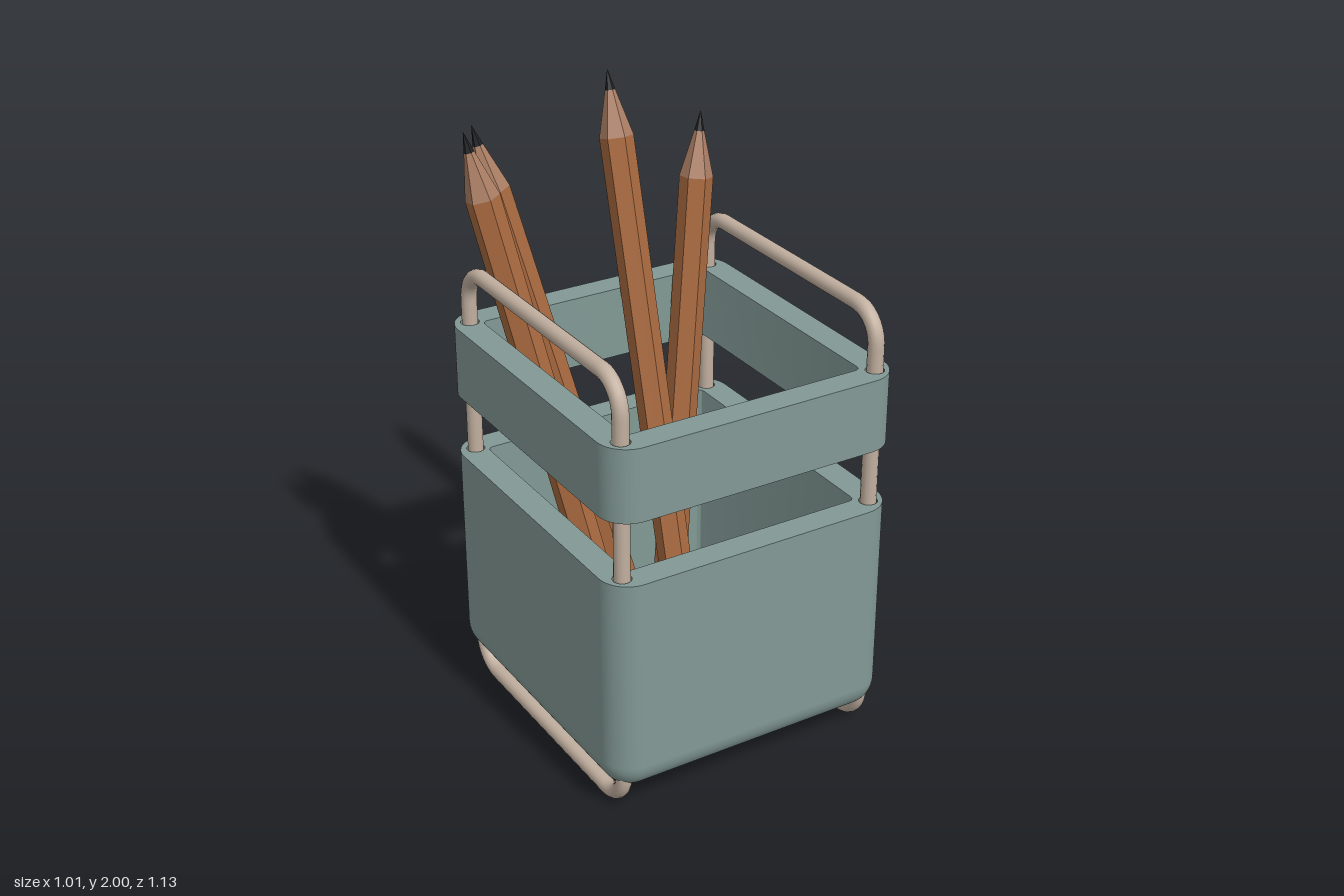
import * as THREE from 'three';
import { toCreasedNormals } from 'three/addons/utils/BufferGeometryUtils.js';
import { RoundedBoxGeometry } from 'three/addons/geometries/RoundedBoxGeometry.js';

const paint = (name, color) => {
  const m = new THREE.MeshStandardMaterial({ color });
  m.name = name;
  return m;
};
const teal = paint('sage green', 0x829995);
const beige = paint('beige metal', 0xc2b0a0);
const orange = paint('orange lacquer', 0xa8693f);
const wood = paint('bare wood', 0xab7e64);
const black = paint('graphite', 0x1e2022);
[orange, wood, black].forEach((m) => { m.flatShading = true; });

const CENTER_Z = 0.03;
const ROD_X = 0.446, ROD_R = 0.026, ROD_FRONT = 0.507, ROD_BACK = -0.441;

function mesh(name, geometry, material) {
  const m = new THREE.Mesh(geometry, material);
  m.name = name;
  return m;
}

// Rounded rectangle around (cx, cy), counter-clockwise
function roundedRect(path, cx, cy, w, h, r) {
  const x = w / 2 - r, y = h / 2 - r;
  path.moveTo(cx - x, cy - y - r);
  path.lineTo(cx + x, cy - y - r);
  path.absarc(cx + x, cy - y, r, -Math.PI / 2, 0);
  path.lineTo(cx + x + r, cy + y);
  path.absarc(cx + x, cy + y, r, 0, Math.PI / 2);
  path.lineTo(cx - x, cy + y + r);
  path.absarc(cx - x, cy + y, r, Math.PI / 2, Math.PI);
  path.lineTo(cx - x - r, cy - y);
  path.absarc(cx - x, cy - y, r, Math.PI, Math.PI * 1.5);
  return path;
}

// Square wall with a central opening and four rod holes
function wall(name, bottom, top) {
  const shape = roundedRect(new THREE.Shape(), 0, CENTER_Z, 1.01, 1.08, 0.1);
  shape.holes.push(roundedRect(new THREE.Path(), 0, CENTER_Z, 0.826, 0.9, 0.02));
  for (const x of [-ROD_X, ROD_X]) {
    for (const z of [ROD_FRONT, ROD_BACK]) {
      shape.holes.push(new THREE.Path().absarc(x, z, 0.03, 0, Math.PI * 2, true));
    }
  }
  const g = new THREE.ExtrudeGeometry(shape, { depth: top - bottom, bevelEnabled: false, curveSegments: 10 });
  g.rotateX(Math.PI / 2).translate(0, top, 0);
  return mesh(name, toCreasedNormals(g, 0.7), teal);
}

// Rounded underside with a flat inner floor
function cupBase(y) {
  const g = new RoundedBoxGeometry(1.01, 0.2, 1.08, 8, 0.1);
  const p = g.attributes.position;
  for (let i = 0; i < p.count; i++) p.setY(i, Math.min(p.getY(i), 0));
  g.translate(0, y, CENTER_Z);
  return mesh('cupBase', g, teal);
}

// Closed loop of bent rod lying in the YZ plane
class RodLoop extends THREE.Curve {
  constructor() {
    super();
    this.outline = roundedRect(new THREE.Path(), (ROD_FRONT + ROD_BACK) / 2, 0.759,
      ROD_FRONT - ROD_BACK, 1.462, 0.105);
  }
  getPoint(t, target = new THREE.Vector3()) {
    const p = this.outline.getPoint(t);
    return target.set(0, p.y, p.x);
  }
}

// Six-sided pencil from the centre of its end to its point
function pencil(name, end, tip) {
  const R = 0.056, CONE = 0.215, LEAD = 0.3;
  const a = new THREE.Vector3(...end), b = new THREE.Vector3(...tip);
  const length = a.distanceTo(b);
  const section = (part, rTop, rBottom, y0, y1, material, open) => {
    const g = new THREE.CylinderGeometry(rTop, rBottom, y1 - y0, 6, 1, open);
    return mesh(part, g.translate(0, (y0 + y1) / 2, 0), material);
  };
  const group = new THREE.Group();
  group.name = name;
  group.add(
    section('pencilShaft', R, R, 0, length - CONE, orange, false),
    section('sharpenedWood', R * LEAD, R, length - CONE, length - CONE * LEAD, wood, true),
    section('pencilLead', 0.001, R * LEAD, length - CONE * LEAD, length, black, true),
  );
  group.position.copy(a);
  group.quaternion.setFromUnitVectors(new THREE.Vector3(0, 1, 0), b.sub(a).normalize());
  return group;
}

export function createModel() {
  const model = new THREE.Group();
  model.name = 'pencilHolder';

  // Cup and upper ring
  model.add(cupBase(0.19), wall('cupWall', 0.19, 0.848), wall('upperRing', 1.06, 1.303));

  // Side frames
  const rod = new THREE.TubeGeometry(new RodLoop(), 240, ROD_R, 14, true);
  for (const [name, x] of [['leftFrame', ROD_X], ['rightFrame', -ROD_X]]) {
    const frame = mesh(name, rod, beige);
    frame.position.x = x;
    model.add(frame);
  }

  // Pencils leaning towards the back
  model.add(
    pencil('centrePencil', [0.138, 0.2, -0.095], [0.138, 2, -0.564]),
    pencil('leftPencil', [0.185, 0.2, -0.26], [0.42, 1.845, -0.45]),
    pencil('outerRightPencil', [-0.11, 0.2, -0.153], [-0.453, 1.945, -0.413]),
    pencil('innerRightPencil', [0.005, 0.2, -0.212], [-0.388, 1.932, -0.487]),
  );
  return model;
}
